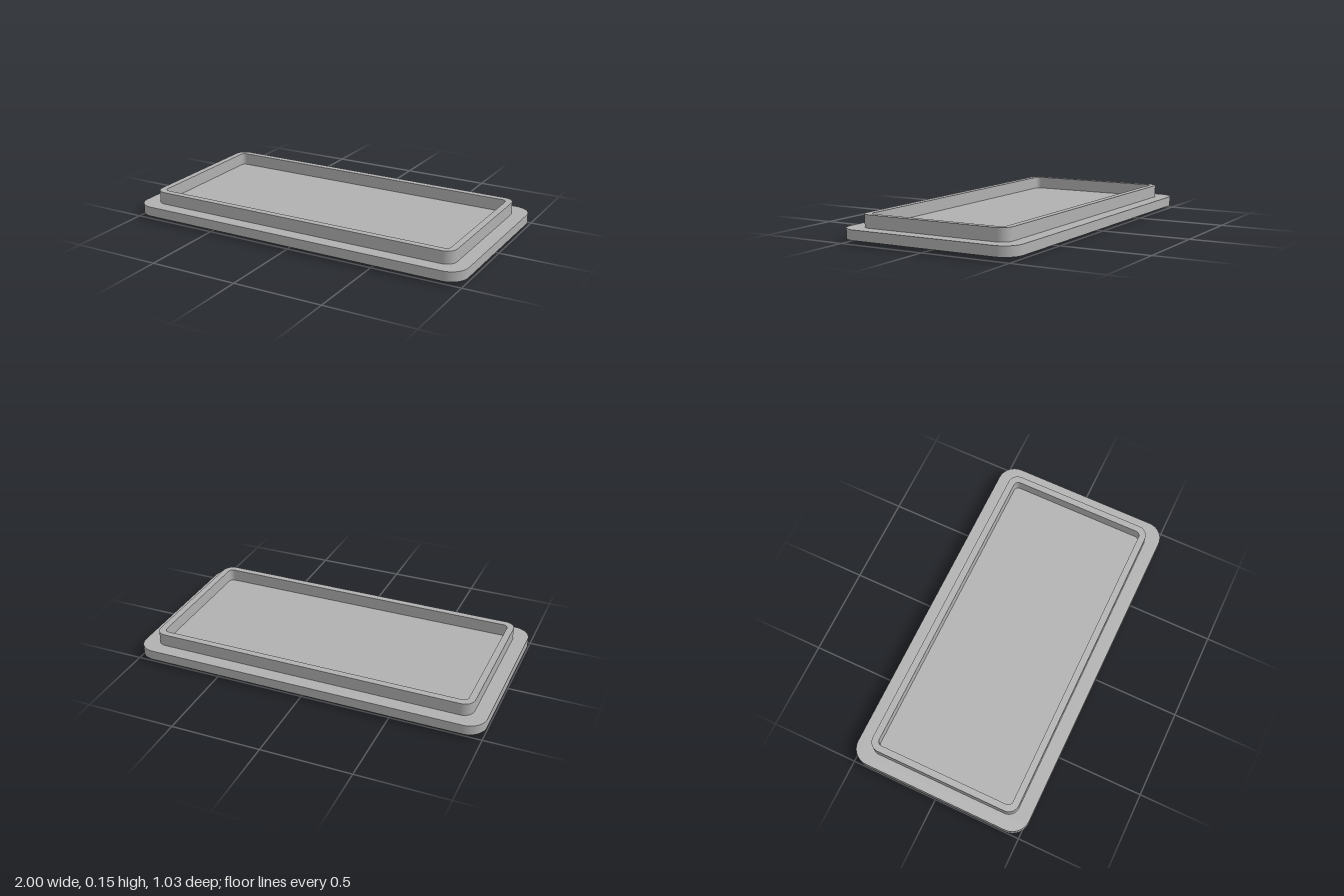
import * as THREE from 'three';

// Traces a rounded rectangle (centred on cx) onto a Shape or Path
function roundedRect(path, halfW, halfD, r, cx = 0) {
  const w = halfW - r, d = halfD - r;
  path.absarc(cx + w, d, r, 0, Math.PI / 2);
  path.absarc(cx - w, d, r, Math.PI / 2, Math.PI);
  path.absarc(cx - w, -d, r, Math.PI, Math.PI * 1.5);
  path.absarc(cx + w, -d, r, Math.PI * 1.5, Math.PI * 2);
  path.closePath();
  return path;
}

// Extrudes a flat outline upward from y0 to y1
function slab(name, shape, y0, y1, material) {
  const geometry = new THREE.ExtrudeGeometry(shape, {
    depth: y1 - y0, bevelEnabled: false, curveSegments: 12,
  });
  geometry.rotateX(-Math.PI / 2);
  geometry.translate(0, y0, 0);
  const mesh = new THREE.Mesh(geometry, material);
  mesh.name = name;
  return mesh;
}

export function createModel() {
  const grey = new THREE.MeshStandardMaterial({ color: 0xb0b0b0 });
  grey.name = 'grey';
  const group = new THREE.Group();
  group.name = 'lid';

  // Wide base plate
  const plate = roundedRect(new THREE.Shape(), 1, 0.517, 0.1);
  group.add(slab('basePlate', plate, 0.022, 0.077, grey));

  // Raised rim around the open tray
  const rim = roundedRect(new THREE.Shape(), 0.921, 0.438, 0.06);
  rim.holes.push(roundedRect(new THREE.Path(), 0.884, 0.4, 0.027));
  group.add(slab('rim', rim, 0.077, 0.147, grey));

  // Pad underneath, with a central slot between two round holes
  const pad = roundedRect(new THREE.Shape(), 0.377, 0.241, 0.06);
  pad.holes.push(roundedRect(new THREE.Path(), 0.092, 0.04, 0.0399));
  for (const x of [-0.205, 0.205]) {
    pad.holes.push(new THREE.Path().absarc(x, 0, 0.046, 0, Math.PI * 2));
  }
  group.add(slab('bottomPad', pad, 0, 0.022, grey));

  return group;
}
